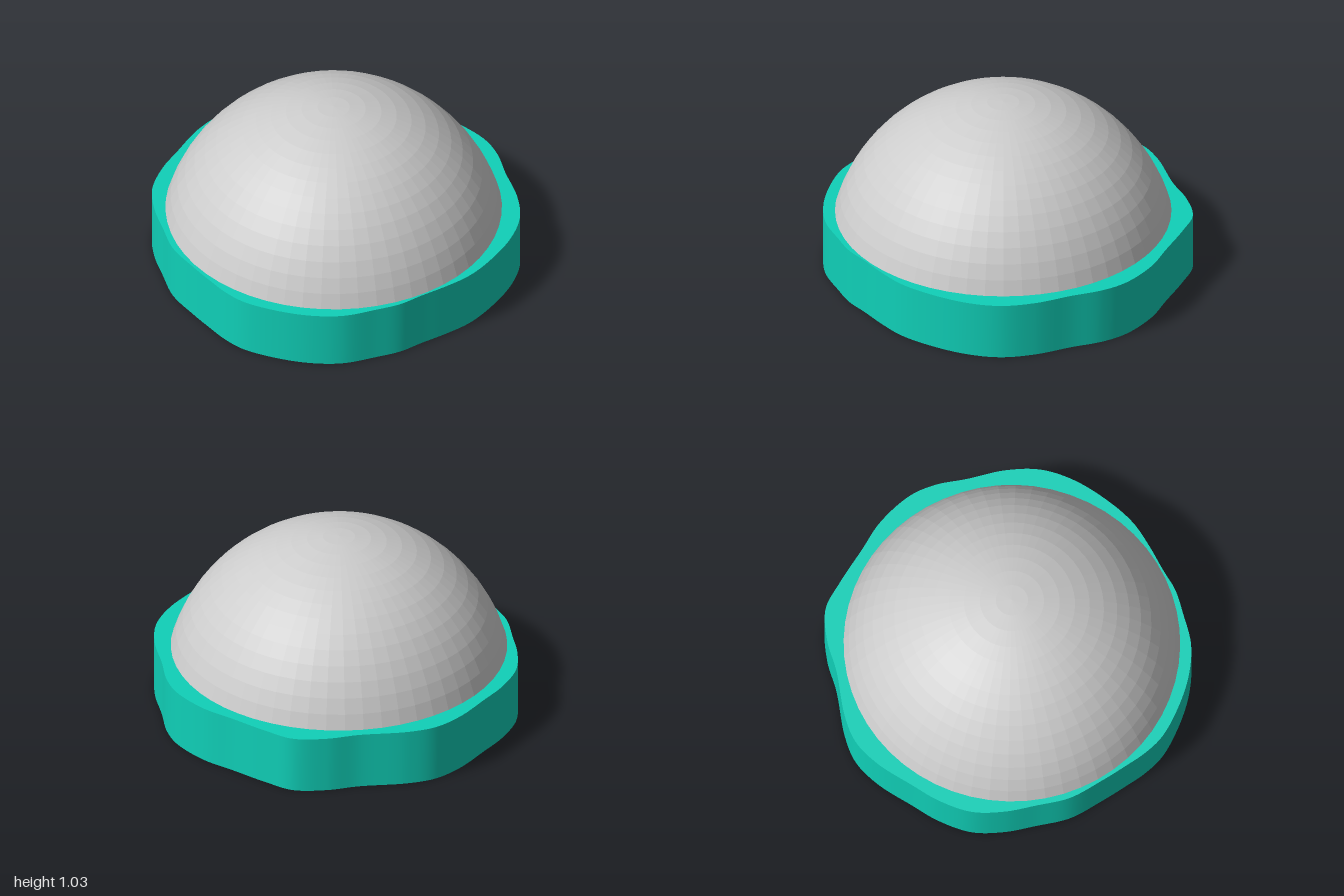
import * as THREE from 'three';

const WALL_TOP = 0.33;
const SEGMENTS = 400;

function material(name, color) {
  const m = new THREE.MeshStandardMaterial({ color, side: THREE.DoubleSide });
  m.name = name;
  return m;
}

// Closed strip of quads between two loops of equal length
function strip(lower, upper) {
  const n = lower.length;
  const pos = [];
  const idx = [];
  for (const p of [...lower, ...upper]) pos.push(p.x, p.y, p.z);
  for (let i = 0; i < n; i++) {
    const j = (i + 1) % n;
    idx.push(i, j, n + j, i, n + j, n + i);
  }
  const g = new THREE.BufferGeometry();
  g.setAttribute('position', new THREE.Float32BufferAttribute(pos, 3));
  g.setIndex(idx);
  g.computeVertexNormals();
  return g;
}

export function createModel() {
  const group = new THREE.Group();
  const teal = material('teal', 0x10d0b8);
  const grey = material('light grey', 0xcccccc);
  const amber = material('amber', 0xd99a10);
  const magenta = material('magenta', 0xc010a0);
  grey.flatShading = true;
  amber.flatShading = true;

  const add = (name, geometry, mat) => {
    const mesh = new THREE.Mesh(geometry, mat);
    mesh.name = name;
    group.add(mesh);
  };

  // Wavy plan outline as x, z pairs
  const plan = [
    [0.99, -0.24], [0.94, -0.43], [0.83, -0.59], [0.67, -0.74], [0.54, -0.87],
    [0.41, -0.95], [0.19, -1.0], [0, -0.995], [-0.23, -0.99], [-0.4, -0.97],
    [-0.55, -0.86], [-0.67, -0.72], [-0.87, -0.53], [-0.96, -0.4], [-1.0, -0.23],
    [-1.0, 0], [-0.995, 0.17], [-0.95, 0.36], [-0.85, 0.51], [-0.72, 0.64],
    [-0.58, 0.77], [-0.4, 0.86], [-0.26, 0.92], [-0.13, 0.97], [0, 0.995],
    [0.19, 0.975], [0.38, 0.92], [0.54, 0.83], [0.67, 0.69], [0.76, 0.58],
    [0.82, 0.46], [0.9, 0.31], [0.96, 0.17], [0.99, 0],
  ].map(([x, z]) => new THREE.Vector3(x, 0, z));
  const curve = new THREE.CatmullRomCurve3(plan, true);
  const outline = curve.getSpacedPoints(SEGMENTS).slice(0, SEGMENTS);

  // Loops derived from the outline
  const wavy = (y, inset = 0) => outline.map((p) => {
    const r = Math.hypot(p.x, p.z);
    return new THREE.Vector3(p.x * (1 - inset / r), y, p.z * (1 - inset / r));
  });
  const circle = (y, radius) => outline.map((p) => {
    const a = Math.atan2(p.z, p.x);
    return new THREE.Vector3(radius * Math.cos(a), y, radius * Math.sin(a));
  });
  // Pushes every second point inward to make ribs
  const ribbed = (loop, depth) => loop.map((p, i) => {
    const k = i % 2 ? 1 - depth : 1;
    return new THREE.Vector3(p.x * k, p.y, p.z * k);
  });

  // Band: outer wall, top ledge, inner lip and bottom edge
  add('outerWall', strip(wavy(0), wavy(WALL_TOP)), teal);
  add('topLedge', strip(wavy(WALL_TOP), circle(WALL_TOP, 0.88)), teal);
  add('innerLip', strip(circle(WALL_TOP - 0.02, 0.88), circle(WALL_TOP, 0.88)), teal);
  add('bottomEdge', strip(wavy(0), wavy(0, 0.008)), teal);
  add('bottomTrim', strip(wavy(0, 0.008), wavy(0, 0.02)), magenta);

  // Ribbed lining tapering up to the lip
  add('ribbedLining', strip(
    ribbed(wavy(0, 0.015), 0.012),
    ribbed(circle(WALL_TOP - 0.015, 0.885), 0.012),
  ), amber);

  // Faceted open dome, a cap of a larger sphere
  const radius = 0.968;
  const centreY = 0.062;
  const capAngle = Math.acos((WALL_TOP - centreY) / radius);
  const dome = new THREE.SphereGeometry(radius, 56, 14, 0, Math.PI * 2, 0, capAngle);
  dome.translate(0, centreY, 0);
  add('dome', dome, grey);

  return group;
}
